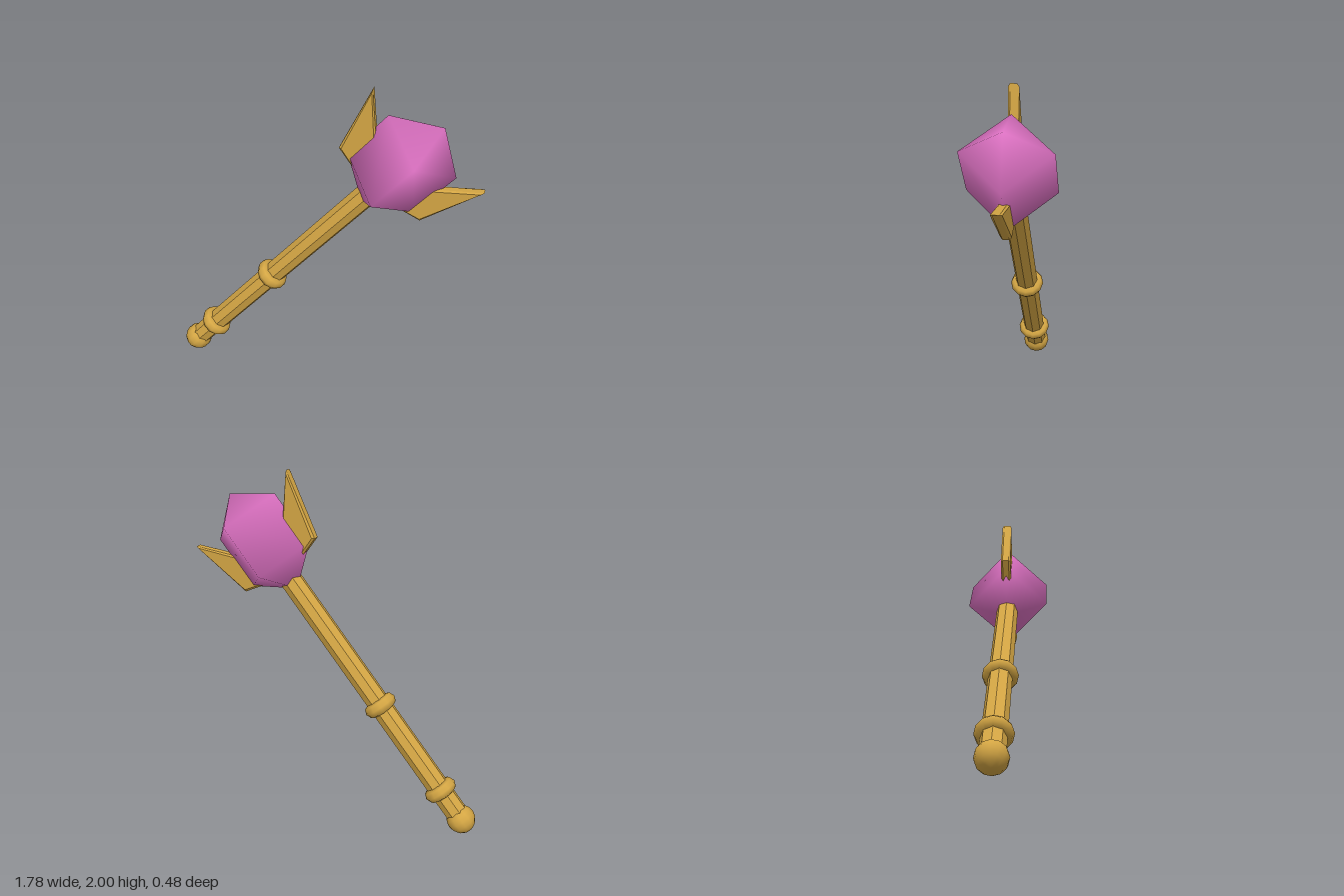
import * as THREE from 'three';

export function createModel() {
  const gold = new THREE.MeshStandardMaterial({ color: 0xd4a644 });
  gold.name = 'gold';
  const orchid = new THREE.MeshStandardMaterial({ color: 0xda70c0 });
  orchid.name = 'orchid';

  const model = new THREE.Group();
  model.name = 'scepter';

  // The scepter is built upright along y, with the pommel at its origin, then tilted
  const staff = new THREE.Group();
  staff.name = 'staff';
  staff.position.set(-0.807, 0.083, 0);
  staff.rotation.z = -THREE.MathUtils.degToRad(40);
  model.add(staff);

  const add = (name, geometry, material, y = 0) => {
    const mesh = new THREE.Mesh(geometry, material);
    mesh.name = name;
    mesh.position.y = y;
    staff.add(mesh);
    return mesh;
  };

  // Faceted eight-sided shaft: unshared vertices give each side a flat normal
  const shaft = new THREE.CylinderGeometry(0.065, 0.065, 1.7, 8).toNonIndexed();
  shaft.computeVertexNormals();
  add('shaft', shaft, gold, 0.85);

  // Round pommel and the two grip rings
  add('pommel', new THREE.SphereGeometry(0.083, 12, 8), gold);
  const ring = new THREE.TorusGeometry(0.056, 0.042, 8, 12).rotateX(Math.PI / 2);
  add('lowerRing', ring, gold, 0.207);
  add('upperRing', ring, gold, 0.806);

  // Four-sided gem, slightly stretched along the staff
  const gem = new THREE.SphereGeometry(0.28, 4, 3).scale(1, 1.165, 1);
  add('gem', gem, orchid, 1.948);

  // Bevelled prongs on both sides of the gem
  const outline = new THREE.Shape([
    [0.1, 1.732], [0.295, 1.783], [0.396, 2.166], [0.1, 1.875],
  ].map(([x, y]) => new THREE.Vector2(x, y)));
  const prong = new THREE.ExtrudeGeometry(outline, {
    depth: 0.036, bevelEnabled: true, bevelThickness: 0.011,
    bevelSize: 0.012, bevelOffset: -0.012, bevelSegments: 1,
  }).translate(0, 0, -0.018);
  add('leftProng', prong, gold);
  add('rightProng', prong, gold).rotation.y = Math.PI;

  return model;
}
